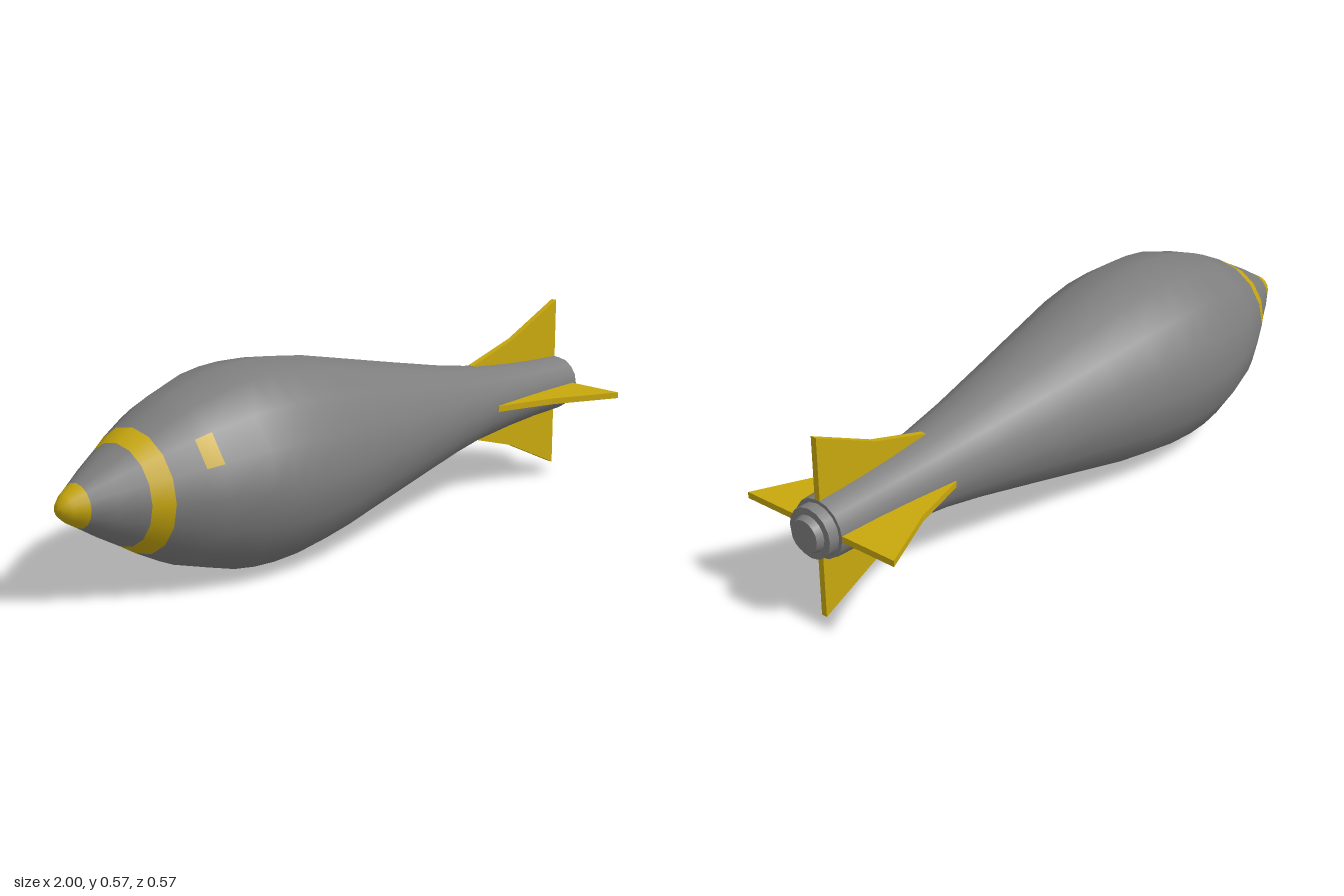
import * as THREE from 'three';

const AXIS_Y = 0.284, SIDES = 16;
const steel = new THREE.MeshStandardMaterial({ color: 0x7e7e7e });
steel.name = 'steel grey';
const yellow = new THREE.MeshStandardMaterial({ color: 0xc8a80e });
yellow.name = 'marking yellow';

// [x along the axis, radius]
const PROFILE = [
  [-1, 0], [-0.995, 0.02], [-0.975, 0.038], [-0.938, 0.06], [-0.88, 0.096], [-0.805, 0.138],
  [-0.752, 0.17], [-0.67, 0.212], [-0.625, 0.232], [-0.5, 0.27], [-0.43, 0.28], [-0.36, 0.283],
  [-0.27, 0.279], [-0.15, 0.262], [0, 0.229], [0.2, 0.185], [0.4, 0.142], [0.55, 0.115],
  [0.7, 0.099], [0.82, 0.09], [0.948, 0.085],
];

// Turned shell: the yellow faces are gathered into their own geometry group
function shellGeometry() {
  const geo = new THREE.LatheGeometry(PROFILE.map(([x, r]) => new THREE.Vector2(r, x)), SIDES);
  const rows = PROFILE.length - 1;
  const isYellow = (row, col) => {
    const x = PROFILE[row][0];
    return x < -0.95 || x === -0.805 || (x === -0.67 && col === 14); // nose, band, small mark
  };
  const grey = [], painted = [], old = geo.index.array;
  for (let col = 0; col < SIDES; col++) {
    for (let row = 0; row < rows; row++) {
      const at = (col * rows + row) * 6;
      (isYellow(row, col) ? painted : grey).push(...old.slice(at, at + 6));
    }
  }
  geo.setIndex([...grey, ...painted]);
  geo.addGroup(0, grey.length, 0);
  geo.addGroup(grey.length, painted.length, 1);
  return geo.rotateZ(-Math.PI / 2);
}

// Disc or cone section lying along x
function drum(name, x0, x1, r0, r1) {
  const geo = new THREE.CylinderGeometry(r1, r0, x1 - x0, SIDES).rotateZ(-Math.PI / 2);
  const mesh = new THREE.Mesh(geo, steel);
  mesh.name = name;
  mesh.position.x = (x0 + x1) / 2;
  return mesh;
}

export function createModel() {
  const model = new THREE.Group();
  model.name = 'finnedBomb';
  const bomb = new THREE.Group();
  bomb.name = 'bomb';
  bomb.position.y = AXIS_Y;
  model.add(bomb);

  const shell = new THREE.Mesh(shellGeometry(), [steel, yellow]);
  shell.name = 'shell';
  bomb.add(shell);

  // Stepped tail plug
  bomb.add(drum('tailPlate', 0.93, 0.949, 0.084, 0.084));
  bomb.add(drum('tailPlug', 0.94, 0.98, 0.074, 0.072));
  bomb.add(drum('tailPlugEnd', 0.975, 1, 0.054, 0.046));

  // Four swept fins
  const outline = new THREE.Shape([
    [0.56, 0.06], [0.56, 0.114], [0.745, 0.168], [0.948, 0.262], [0.948, 0.06],
  ].map(([x, y]) => new THREE.Vector2(x, y)));
  const finGeo = new THREE.ExtrudeGeometry(outline, { depth: 0.018, bevelEnabled: false });
  finGeo.translate(0, 0, -0.009);
  for (let i = 0; i < 4; i++) {
    const fin = new THREE.Mesh(finGeo, yellow);
    fin.name = 'fin' + (i + 1);
    fin.rotation.x = i * Math.PI / 2;
    bomb.add(fin);
  }
  return model;
}
